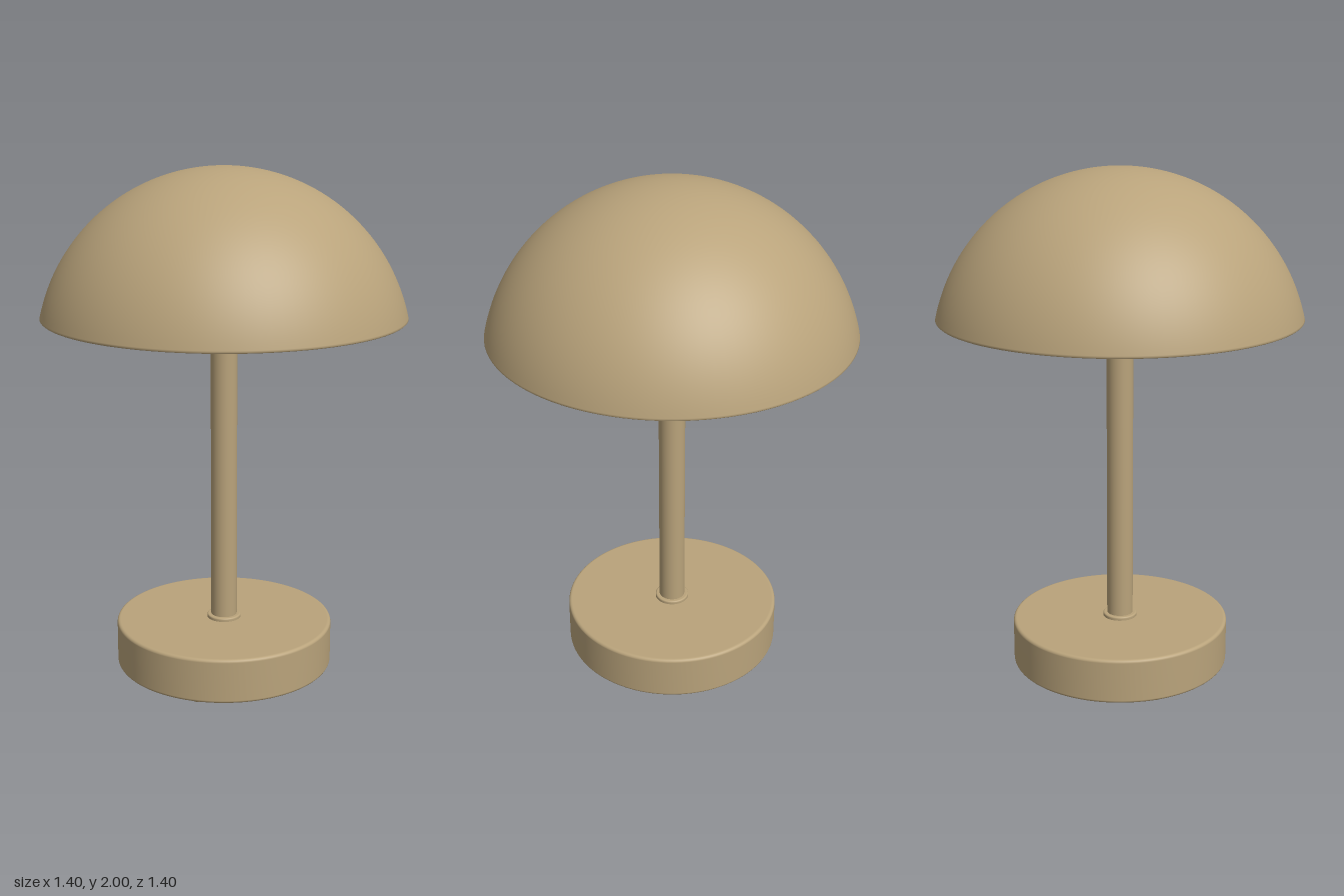
import * as THREE from 'three';

const tan = new THREE.MeshStandardMaterial({ color: 0xb9a37b });
tan.name = 'tan';

const SEG = 96;

// Revolved part from [radius, height] points, listed bottom to top on the outside.
function turned(name, points, segments = SEG) {
  const profile = points.map(([r, y]) => new THREE.Vector2(r, y));
  const mesh = new THREE.Mesh(new THREE.LatheGeometry(profile, segments), tan);
  mesh.name = name;
  return mesh;
}

// Points of a quarter-round edge between two angles.
function arc(cx, cy, r, from, to, steps = 5) {
  return Array.from({ length: steps + 1 }, (_, i) => {
    const a = from + ((to - from) * i) / steps;
    return [cx + r * Math.cos(a), cy + r * Math.sin(a)];
  });
}

// Solid disc with rounded rims; doubled points keep the flat faces flat.
function roundedDisc(name, radius, bottom, top, bevel, segments = SEG) {
  const q = Math.PI / 2;
  const inner = radius - bevel;
  return turned(name, [
    [0, bottom], [inner - 0.002, bottom],
    ...arc(inner, bottom + bevel, bevel, -q, 0),
    ...arc(inner, top - bevel, bevel, 0, q),
    [inner - 0.002, top], [0, top],
  ], segments);
}

export function createModel() {
  const lamp = new THREE.Group();
  lamp.name = 'tableLamp';

  // Base puck with four small feet
  lamp.add(roundedDisc('base', 0.432, 0.018, 0.197, 0.012));
  const feet = new THREE.Group();
  feet.name = 'feet';
  for (let i = 0; i < 4; i++) {
    const foot = roundedDisc('foot', 0.038, 0, 0.022, 0.005, 24);
    const a = Math.atan2(0.213, 0.288) + (i * Math.PI) / 2;
    foot.position.set(0.358 * Math.cos(a), 0, 0.358 * Math.sin(a));
    feet.add(foot);
  }
  lamp.add(feet);

  // Stem with a collar at each end
  const stem = new THREE.Mesh(new THREE.CylinderGeometry(0.052, 0.052, 1.26, 40), tan);
  stem.name = 'stem';
  stem.position.y = 0.82;
  lamp.add(stem);
  lamp.add(roundedDisc('lowerCollar', 0.068, 0.19, 0.211, 0.006, 40));
  lamp.add(roundedDisc('upperCollar', 0.06, 1.424, 1.445, 0.005, 40));

  // Domed shade: spherical cap over a narrow rounded lip
  const R = 0.719, centre = 2 - R;
  const start = Math.asin((1.442 - centre) / R);
  const dome = arc(0, centre, R, start, Math.PI / 2, 40);
  dome[dome.length - 1][0] = 0;
  lamp.add(turned('shade', [
    [0.607, 1.442], [0.609, 1.434], [0.613, 1.432], [0.69, 1.431], [0.698, 1.432], [0.702, 1.436],
    ...dome,
  ]));

  // Slightly recessed panel closing the shade from below
  const panel = new THREE.Mesh(new THREE.CircleGeometry(0.609, SEG), tan);
  panel.name = 'shadePanel';
  panel.rotation.x = Math.PI / 2;
  panel.position.y = 1.44;
  lamp.add(panel);

  return lamp;
}
